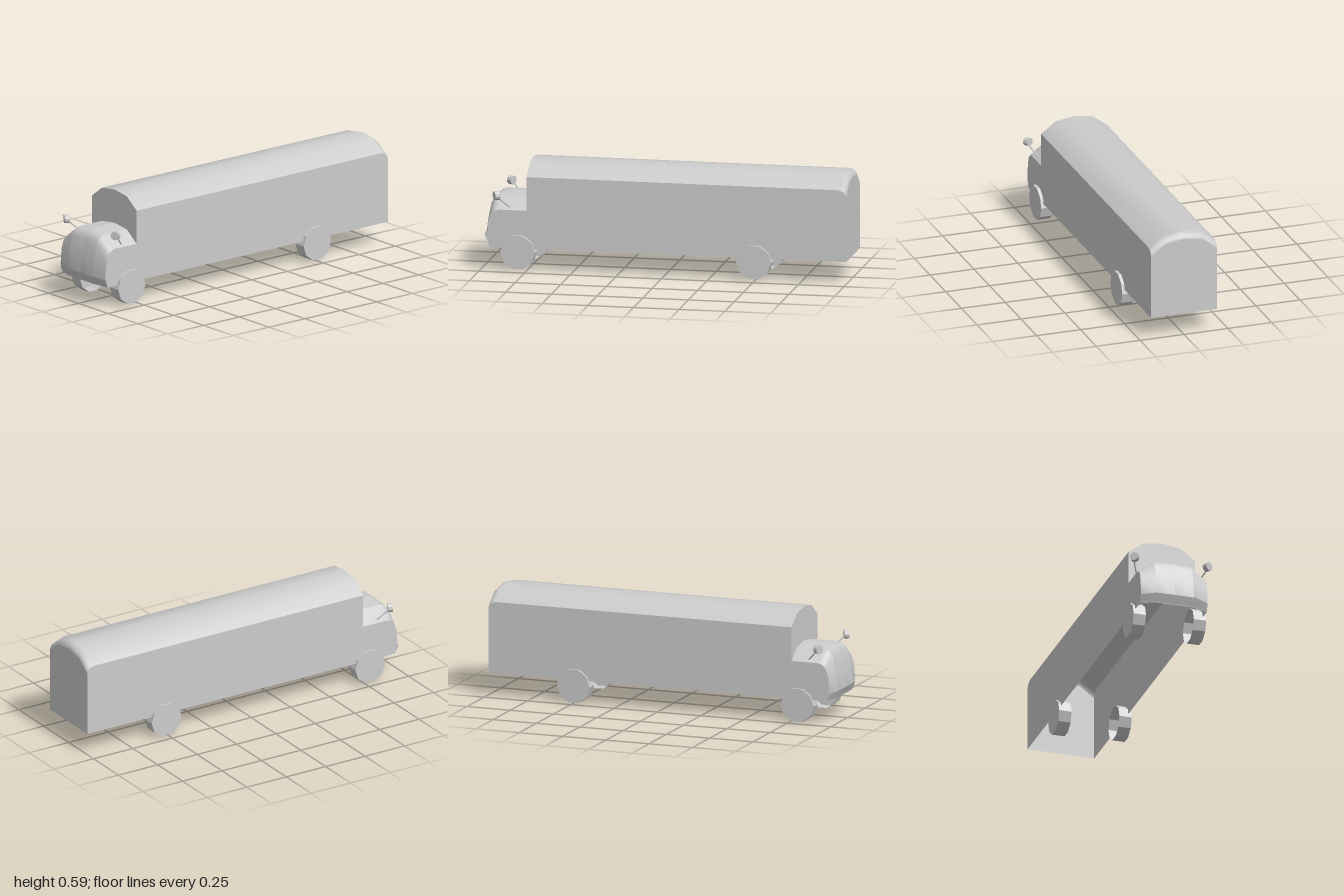
import * as THREE from 'three';

const material = new THREE.MeshStandardMaterial({ color: 0xcccccc, side: THREE.DoubleSide });
const HALF = 0.188;   // half width of the bus
const SHOULDER = 0.105; // half width of the flatter top
const FLOOR = 0.123;  // open underside height
const WALL = -0.75;   // where the cab meets the body

function addMesh(parent, name, geometry) {
  const mesh = new THREE.Mesh(geometry, material);
  mesh.name = name;
  parent.add(mesh);
  return mesh;
}

// Smooth skin through rows of points of equal length
function skin(rows) {
  const n = rows[0].length;
  const index = [];
  for (let r = 0; r < rows.length - 1; r++) {
    for (let i = 0; i < n - 1; i++) {
      const a = r * n + i, b = a + n;
      index.push(a, a + 1, b, a + 1, b + 1, b);
    }
  }
  const g = new THREE.BufferGeometry();
  g.setAttribute('position', new THREE.Float32BufferAttribute(rows.flat(2), 3));
  g.setIndex(index);
  g.computeVertexNormals();
  return g;
}

// Flat convex panel, filled as a fan
function panel(points) {
  const index = [];
  for (let i = 1; i < points.length - 1; i++) index.push(0, i, i + 1);
  const g = new THREE.BufferGeometry();
  g.setAttribute('position', new THREE.Float32BufferAttribute(points.flat(), 3));
  g.setIndex(index);
  g.computeVertexNormals();
  return g;
}

// Panel in a side plane, facing outward on either side
function sidePanel(points, side) {
  const pts = points.map(([x, y]) => [x, y, side * HALF]);
  return panel(side > 0 ? pts : pts.reverse());
}

// Cab profiles from the rear edge down to the bumper
const cabSide = [[WALL, 0.33], [-0.904, 0.33], [-0.928, 0.322], [-0.947, 0.302],
  [-0.962, 0.257], [-0.968, 0.175], [-0.952, FLOOR]];
const cabShoulder = [[WALL, 0.392], [-0.908, 0.392], [-0.936, 0.382], [-0.957, 0.355],
  [-0.973, 0.28], [-0.988, 0.18], [-0.976, 0.128]];
const cabCentre = cabShoulder.map(([x, y], i) => [x, y + Math.max(0, 0.014 - i * 0.004)]);
const cabRows = cabSide.map((p, i) => [
  [...p, -HALF], [...cabShoulder[i], -SHOULDER], [...cabCentre[i], 0],
  [...cabShoulder[i], SHOULDER], [...p, HALF]]);

function buildBody() {
  const body = new THREE.Group();
  body.name = 'passengerBody';
  const arch = [[-HALF, 0.515], [-SHOULDER, 0.577], [0, 0.592], [SHOULDER, 0.577], [HALF, 0.515]];
  // Roof, rounded down at the rear: [x, drop]
  const stations = [[WALL, 0], [0.962, 0], [0.985, 0.01], [0.996, 0.022], [1, 0.037]];
  const rows = stations.map(([x, d]) => arch.map(([z, y]) => [x, y - d, z]));
  addMesh(body, 'roof', skin(rows));

  // Rear wall, and the front wall rising above the hood
  addMesh(body, 'rearWall', panel([[1, FLOOR, -HALF], ...rows[rows.length - 1], [1, FLOOR, HALF]]));
  addMesh(body, 'frontWall', skin([cabRows[0], rows[0]]));

  // Side walls
  const edge = stations.map(([x, d]) => [x, 0.515 - d]).reverse();
  for (const s of [-1, 1]) {
    addMesh(body, s > 0 ? 'leftWall' : 'rightWall',
      sidePanel([[WALL, FLOOR], [1, FLOOR], ...edge], s));
  }
  return body;
}

function buildCab() {
  const cab = new THREE.Group();
  cab.name = 'cab';
  // Hood in four strips, creased between them
  const rows = [...cabRows].reverse();
  for (let i = 0; i < 4; i++) {
    addMesh(cab, 'hoodStrip' + (i + 1), skin(rows.map(r => [r[i], r[i + 1]])));
  }
  for (const s of [-1, 1]) {
    addMesh(cab, s > 0 ? 'leftCabSide' : 'rightCabSide', sidePanel([[WALL, FLOOR], ...cabSide], s));
  }

  // Slanted bumper strip wrapping the nose
  const strip = (xSide, xMid, ySide, yMid) => [
    [xSide, ySide, -HALF], [xMid, yMid, -0.11], [xMid, yMid, 0.11], [xSide, ySide, HALF]];
  addMesh(cab, 'bumper', skin([
    strip(-0.953, -0.979, 0.126, 0.131),
    strip(-0.971, -1, 0.166, 0.176)]));
  return cab;
}

function buildMirror(s) {
  const mirror = new THREE.Group();
  mirror.name = s > 0 ? 'leftMirror' : 'rightMirror';
  // Round head, turned back and inward
  const headGeometry = new THREE.CylinderGeometry(0.024, 0.024, 0.028, 10).toNonIndexed();
  headGeometry.computeVertexNormals();
  const head = addMesh(mirror, 'mirrorHead', headGeometry);
  const up = new THREE.Vector3(0, 1, 0);
  head.quaternion.setFromUnitVectors(up, new THREE.Vector3(0.86, 0, -0.5 * s).normalize());
  head.position.set(-0.911, 0.411, 0.206 * s);
  // Arm down to the cab
  const a = new THREE.Vector3(-0.907, 0.405, 0.209 * s);
  const b = new THREE.Vector3(-0.845, 0.343, 0.173 * s);
  const arm = addMesh(mirror, 'mirrorArm', new THREE.CylinderGeometry(0.004, 0.004, a.distanceTo(b), 6));
  arm.position.copy(a).add(b).multiplyScalar(0.5);
  arm.quaternion.setFromUnitVectors(up, b.clone().sub(a).normalize());
  return mirror;
}

// Ten-sided wheel with flat treads, capped outside and open inside
function buildWheel(name, x, y, z) {
  const wheel = new THREE.Group();
  wheel.name = name;
  const tread = new THREE.CylinderGeometry(0.095, 0.095, 0.07, 10, 1, true).toNonIndexed();
  tread.rotateY(Math.PI / 2).rotateX(Math.PI / 2);
  tread.computeVertexNormals();
  addMesh(wheel, 'tread', tread);
  addMesh(wheel, 'outerDisc', new THREE.CircleGeometry(0.095, 10)).position.z = 0.035;
  wheel.position.set(x, y, z);
  if (z < 0) wheel.rotation.y = Math.PI;
  return wheel;
}

export function createModel() {
  const bus = new THREE.Group();
  bus.name = 'bus';
  bus.add(buildBody(), buildCab(), buildMirror(1), buildMirror(-1));
  // The two sides of each axle sit slightly offset
  for (const [axle, x] of [['front', -0.792], ['rear', 0.5]]) {
    bus.add(buildWheel(axle + 'LeftWheel', x - 0.005, 0.102, 0.17));
    bus.add(buildWheel(axle + 'RightWheel', x + 0.005, 0.0915, -0.166));
  }
  return bus;
}
